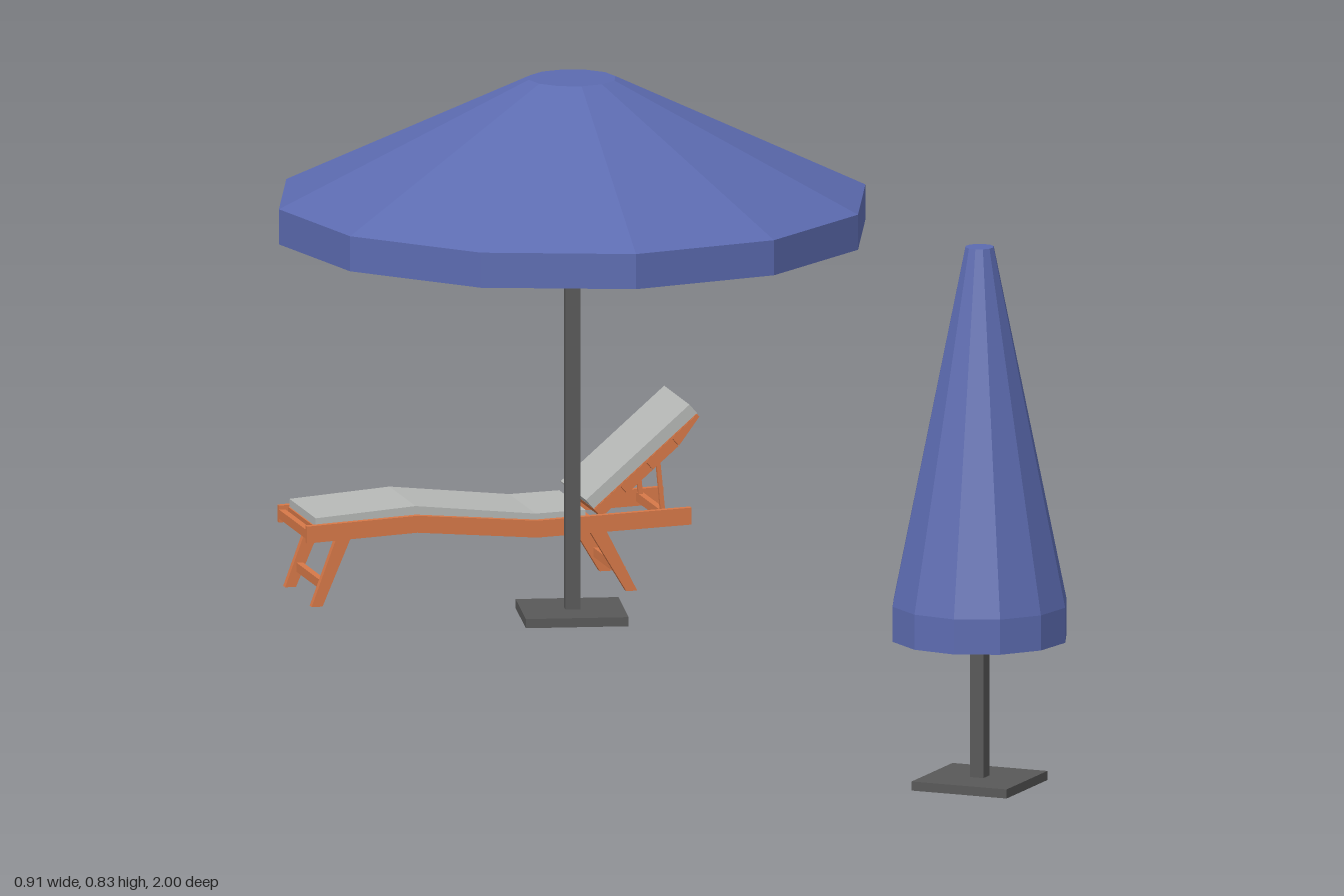
import * as THREE from 'three';

const mat = (color, side = THREE.FrontSide) =>
  new THREE.MeshStandardMaterial({ color, side, flatShading: true });

export function createModel() {
  const root = new THREE.Group();
  const fabric = mat(0x5c6bb0, THREE.DoubleSide);
  const metal = mat(0x585858);
  const wood = mat(0xd67848);
  const cushionMat = mat(0xb6b8b6);

  const add = (parent, name, geo, material, x = 0, y = 0, z = 0) => {
    const m = new THREE.Mesh(geo, material);
    m.name = name;
    m.position.set(x, y, z);
    parent.add(m);
    return m;
  };

  // Parasol: twelve-sided canopy with a lining, square pole and square base plate
  const parasol = (name, x, z, turn, canopyTurn, profile, lining) => {
    const g = new THREE.Group();
    g.name = name;
    g.position.set(x, 0, z);
    for (const [part, line] of [['canopy', profile], ['canopyLining', lining]]) {
      const pts = line.map(([r, y]) => new THREE.Vector2(r, y));
      add(g, part, new THREE.LatheGeometry(pts, 12), fabric).rotation.y = canopyTurn;
    }
    add(g, 'pole', new THREE.BoxGeometry(0.0225, 0.81, 0.0225), metal, 0, 0.42, 0).rotation.y = turn;
    add(g, 'basePlate', new THREE.BoxGeometry(0.156, 0.014, 0.156), metal, 0, 0.01, 0).rotation.y = turn;
    root.add(g);
  };
  parasol('openParasol', -0.001, -0.547, -0.157, -0.042,
    [[0.453, 0.596], [0.453, 0.65], [0.067, 0.833], [0, 0.833]],
    [[0.453, 0.596], [0.067, 0.827], [0, 0.827]]);
  parasol('closedParasol', 0.265, 0.865, -0.663, -0.024,
    [[0.135, 0.23], [0.135, 0.284], [0.022, 0.832], [0, 0.832]],
    [[0.135, 0.23], [0.021, 0.826], [0, 0.826]]);

  // Sun lounger, lying along x with its head at +x
  const lounger = new THREE.Group();
  lounger.name = 'lounger';
  lounger.position.z = -0.821;
  root.add(lounger);

  // Side outline in x and y, extruded across z around a centre
  const slab = (parent, name, outline, width, z, material) => {
    const shape = new THREE.Shape(outline.map(([x, y]) => new THREE.Vector2(x, y)));
    const geo = new THREE.ExtrudeGeometry(shape, { depth: width, bevelEnabled: false });
    add(parent, name, geo, material, 0, 0, z - width / 2);
  };
  // Band between a line of points and the same line lowered by t
  const band = (line, t) => [...line.map(([x, y]) => [x, y - t]), ...line.slice().reverse()];

  const railLine = [[-0.366, 0.125], [-0.194, 0.133], [-0.007, 0.116], [0.234, 0.124]];
  const railTop = (x) => {
    let i = 0;
    while (i < railLine.length - 2 && x > railLine[i + 1][0]) i++;
    const [a, b] = [railLine[i], railLine[i + 1]];
    const slope = (b[1] - a[1]) / (b[0] - a[0]);
    return { y: a[1] + slope * (x - a[0]), angle: Math.atan(slope) };
  };

  for (const s of [-1, 1]) {
    slab(lounger, 'sideRail', band(railLine, 0.026), 0.01, s * 0.0835, wood);
    slab(lounger, 'footLeg', [[-0.358, 0], [-0.341, 0], [-0.295, 0.108], [-0.318, 0.108]], 0.012, s * 0.079, wood);
    slab(lounger, 'headLeg', [[0.133, 0], [0.15, 0], [0.099, 0.1], [0.073, 0.1]], 0.012, s * 0.079, wood);
    slab(lounger, 'backProp', [[0.192, 0.105], [0.199, 0.105], [0.19, 0.196], [0.184, 0.194]], 0.007, s * 0.066, wood);
  }

  // Cross bars between legs and across the frame
  for (const [name, x, y] of [['legBar', -0.335, 0.03], ['legBar', 0.128, 0.03],
    ['endBar', -0.361, 0.112], ['propBar', 0.196, 0.111]]) {
    add(lounger, name, new THREE.BoxGeometry(0.01, 0.014, 0.158), wood, x, y, 0);
  }

  // Bed slats following the rails
  const slatCount = 11;
  for (let i = 0; i < slatCount; i++) {
    const x = -0.333 + i * 0.0395;
    const { y, angle } = railTop(x);
    add(lounger, 'bedSlat', new THREE.BoxGeometry(0.038, 0.01, 0.158), wood, x, y - 0.008, 0).rotation.z = angle;
  }
  slab(lounger, 'seatCushion', band([[-0.35, 0.135], [-0.194, 0.146], [-0.007, 0.125], [0.071, 0.127]], 0.016),
    0.156, 0, cushionMat);

  // Tilted backrest: close-set boards on a thin backing, under a cushion
  const back = new THREE.Group();
  back.name = 'backrest';
  back.position.set(0.096, 0.114, 0);
  back.rotation.z = 0.71;
  lounger.add(back);
  const L = 0.213;
  const boards = 4;
  const step = L / boards;
  for (let i = 0; i < boards; i++) {
    // The topmost board tapers towards its end
    const endBottom = i === boards - 1 ? 0.012 : 0;
    const x0 = i * step, x1 = x0 + step - 0.001;
    slab(back, 'backBoard', [[x0, 0], [x1, endBottom], [x1, 0.017], [x0, 0.017]], 0.155, 0, wood);
  }
  add(back, 'backing', new THREE.BoxGeometry(L - 0.004, 0.004, 0.153), wood, L / 2, 0.016, 0);
  add(back, 'backCushion', new THREE.BoxGeometry(L, 0.018, 0.151), cushionMat, L / 2, 0.027, 0);

  return root;
}
